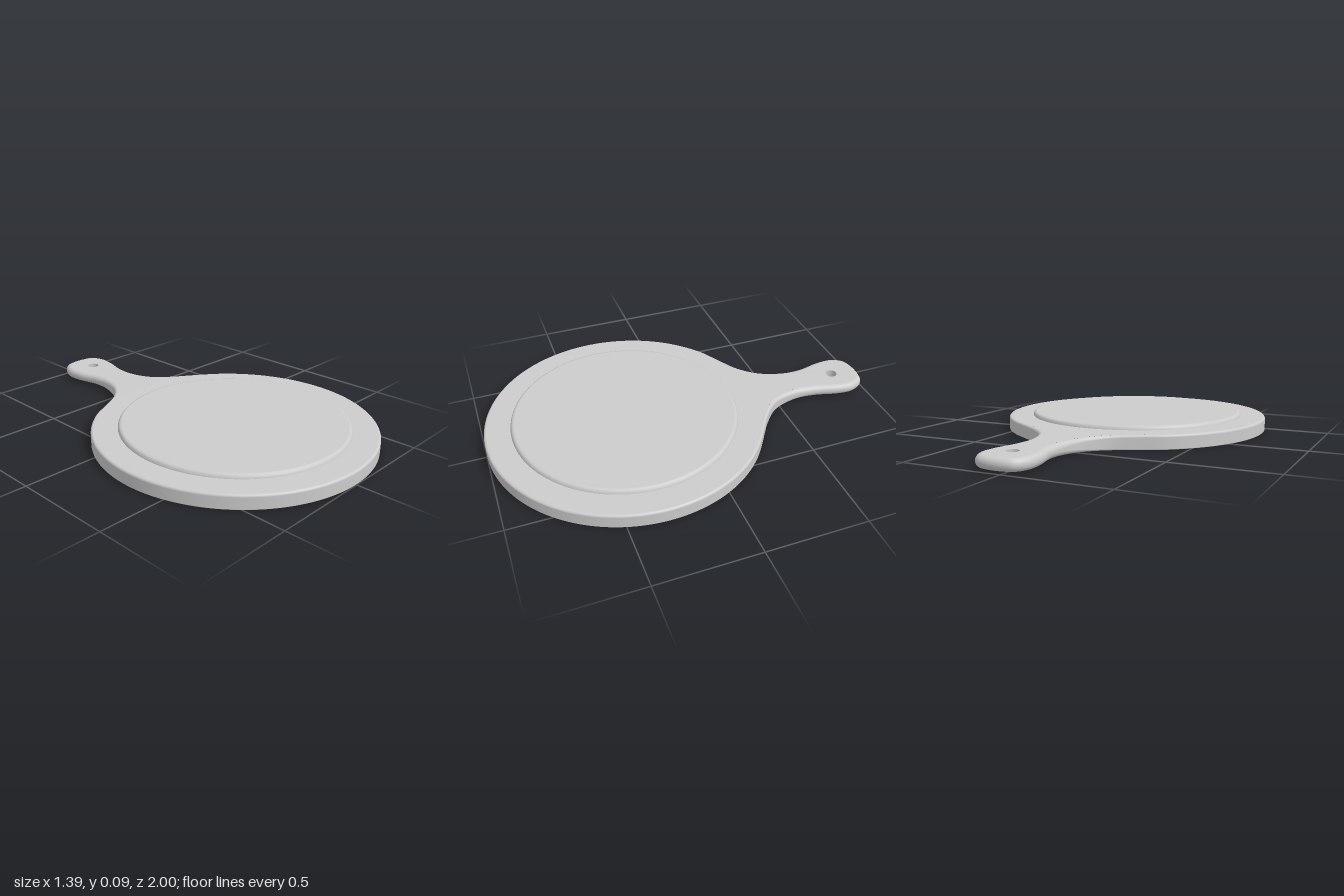
import * as THREE from 'three';

const CENTRE_Z = 0.303, RADIUS = 0.696;
const HOLE = { x: 0.04, z: -0.85, r: 0.03 };
const ease = (z) => THREE.MathUtils.smoothstep(-z, 0.3, 0.72); // 0 on the disc, 1 on the handle
const bottomY = (z) => 0.008 * ease(z);
const topY = (z) => 0.07 - 0.004 * ease(z);

// Board outline in plan: round body, then the slightly offset handle
function outline(count) {
  const pts = [];
  const a0 = Math.PI - 0.6;
  for (let i = 0; i <= 48; i++) {
    const a = a0 - (2 * a0 * i) / 48;
    pts.push([RADIUS * Math.sin(a), CENTRE_Z + RADIUS * Math.cos(a)]);
  }
  pts.push(
    [-0.28, -0.333], [-0.18, -0.395], [-0.105, -0.485], [-0.068, -0.6], [-0.066, -0.71],
    [-0.092, -0.83], [-0.092, -0.92], [-0.055, -0.982], [0, -1], [0.075, -1],
    [0.133, -0.98], [0.166, -0.915], [0.162, -0.83], [0.132, -0.71], [0.122, -0.59],
    [0.157, -0.465], [0.24, -0.378], [0.3, -0.335]);
  const curve = new THREE.CatmullRomCurve3(pts.map(([x, z]) => new THREE.Vector3(x, 0, z)), true);
  curve.arcLengthDivisions = 1200;
  return Array.from({ length: count }, (_, i) => {
    const p = curve.getPointAt(i / count), t = curve.getTangentAt(i / count);
    return { x: p.x, z: p.z, nx: t.z, nz: -t.x };
  });
}

// Rounded rim: a quarter round at the bottom and top, wider along the handle
function rimGeometry(path, steps) {
  const pos = [], idx = [], rows = 2 * (steps + 1);
  for (const p of path) {
    const k = ease(p.z), lo = bottomY(p.z), hi = topY(p.z);
    for (let j = 0; j < rows; j++) {
      const top = j > steps;
      const r = THREE.MathUtils.lerp(top ? 0.012 : 0.003, 0.027, k);
      const a = ((top ? j - steps - 1 : steps - j) / steps) * Math.PI / 2;
      const inset = r * (1 - Math.cos(a)), rise = r * (1 - Math.sin(a));
      pos.push(p.x - p.nx * inset, top ? hi - rise : lo + rise, p.z - p.nz * inset);
    }
  }
  const n = path.length;
  for (let i = 0; i < n; i++) {
    for (let j = 0; j < rows - 1; j++) {
      const a = i * rows + j, b = ((i + 1) % n) * rows + j;
      idx.push(a, a + 1, b, b, a + 1, b + 1);
    }
  }
  const g = new THREE.BufferGeometry();
  g.setAttribute('position', new THREE.Float32BufferAttribute(pos, 3));
  g.setIndex(idx);
  g.computeVertexNormals();
  return g;
}

// Flat face inside the rim, pierced by the hanging hole
function faceGeometry(path, top) {
  const contour = path.map((p) => {
    const r = THREE.MathUtils.lerp(top ? 0.012 : 0.003, 0.027, ease(p.z));
    return new THREE.Vector2(p.x - p.nx * r, p.z - p.nz * r);
  });
  const hole = Array.from({ length: 32 }, (_, i) => {
    const a = (i / 32) * Math.PI * 2;
    return new THREE.Vector2(HOLE.x + HOLE.r * Math.sin(a), HOLE.z + HOLE.r * Math.cos(a));
  });
  const all = [...contour, ...hole], idx = [];
  for (const [a, b, c] of THREE.ShapeUtils.triangulateShape(contour, [hole])) {
    const u = all[b].clone().sub(all[a]), v = all[c].clone().sub(all[a]);
    const up = u.y * v.x - u.x * v.y > 0;
    idx.push(...(up === top ? [a, b, c] : [a, c, b]));
  }
  const g = new THREE.BufferGeometry();
  const pos = all.flatMap((p) => [p.x, (top ? topY : bottomY)(p.y), p.y]);
  g.setAttribute('position', new THREE.Float32BufferAttribute(pos, 3));
  g.setIndex(idx);
  g.computeVertexNormals();
  return g;
}

export function createModel() {
  const group = new THREE.Group();
  group.name = 'servingBoard';
  const material = new THREE.MeshStandardMaterial({ color: 0xcccccc });
  const add = (name, geometry, mat = material) => {
    const mesh = new THREE.Mesh(geometry, mat);
    mesh.name = name;
    group.add(mesh);
    return mesh;
  };

  // Board and handle in one piece
  const path = outline(320);
  add('boardRim', rimGeometry(path, 6));
  add('boardTop', faceGeometry(path, true));
  add('boardUnderside', faceGeometry(path, false));

  // Wall of the hanging hole, seen from inside
  const lo = bottomY(HOLE.z), hi = topY(HOLE.z);
  const inner = material.clone();
  inner.side = THREE.BackSide;
  add('hangingHole', new THREE.CylinderGeometry(HOLE.r, HOLE.r, hi - lo, 32, 1, true), inner)
    .position.set(HOLE.x, (lo + hi) / 2, HOLE.z);

  // Raised round plateau: bevelled edge and flat top
  const edge = [[0.567, 0.068], [0.566, 0.074], [0.562, 0.083], [0.557, 0.088], [0.549, 0.09]];
  add('plateauEdge', new THREE.LatheGeometry(edge.map(([x, y]) => new THREE.Vector2(x, y)), 128))
    .position.z = CENTRE_Z;
  const plateau = add('plateauTop', new THREE.CircleGeometry(0.549, 128));
  plateau.rotation.x = -Math.PI / 2;
  plateau.position.set(0, 0.09, CENTRE_Z);

  return group;
}
